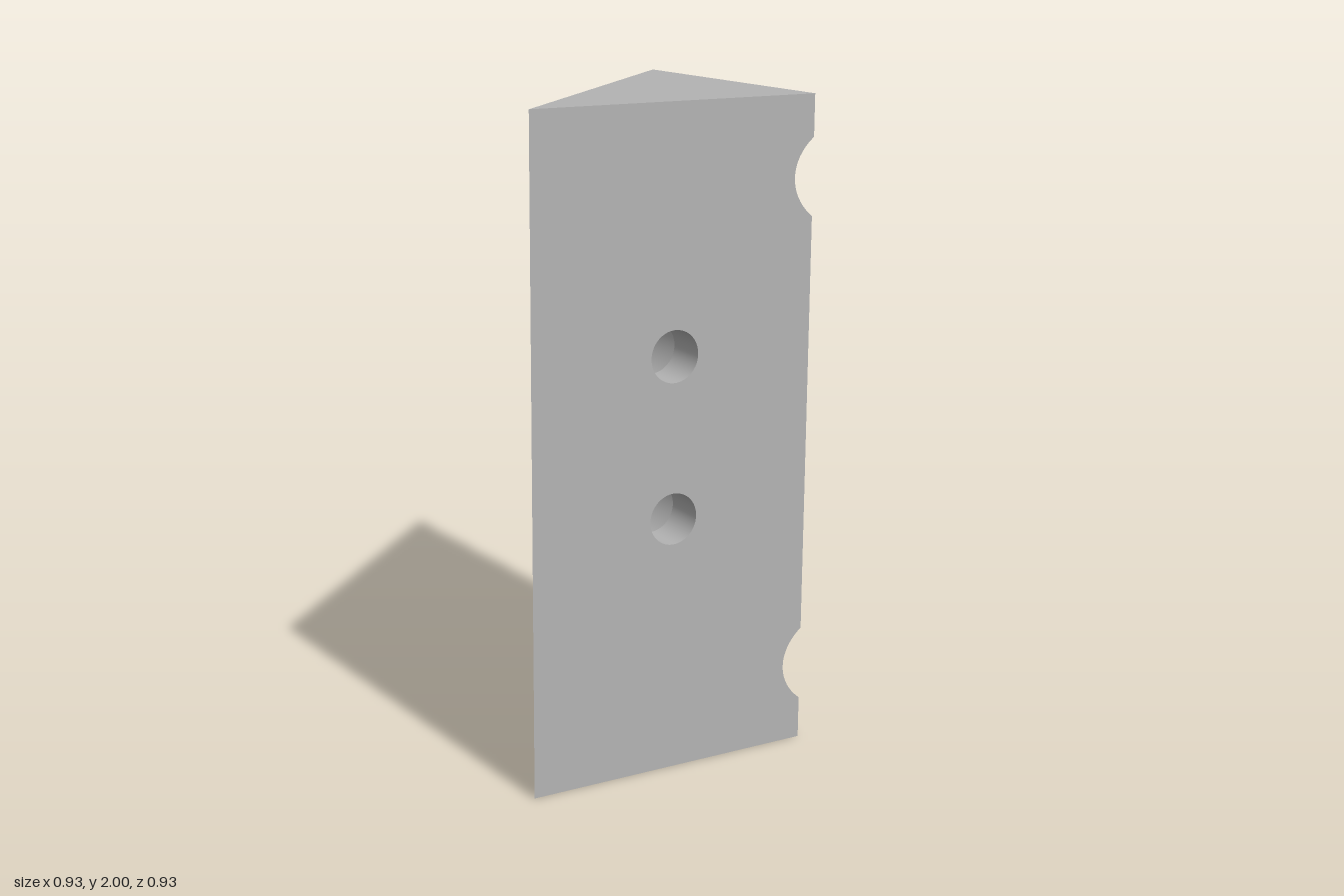
import * as THREE from 'three';

const H = 0.463, TALL = 2;              // half width of the prism, height
const Q = Math.SQRT1_2, S = Math.SQRT2;
const V = (x, y, z) => new THREE.Vector3(x, y, z);
const UP = V(0, 1, 0);

const SIDE = { ys: [0.246, 1.759], shift: 0.09, bore: 0.172, hole: 0.1, floor: 0.42 * Q };
const FRONT = { ys: [0.784, 1.272], bore: 0.161, hole: 0.078, floor: 0.33 };

// angle at which the side counterbore crosses the vertical corner edge
const CORNER = Math.acos(-SIDE.shift * S / SIDE.bore);

function arc(from, to, n) {
  return Array.from({ length: n + 1 }, (_, i) => from + (to - from) * i / n);
}
const FULL = arc(0, Math.PI * 2, 64);

function ellipse(cu, cv, ru, rv, angles) {
  return angles.map(t => new THREE.Vector2(cu + ru * Math.cos(t), cv + rv * Math.sin(t)));
}

export function createModel() {
  const group = new THREE.Group();
  const grey = new THREE.MeshStandardMaterial({ color: 0xb3b3b3 });

  const add = (name, geometry) => {
    const mesh = new THREE.Mesh(geometry, grey);
    mesh.name = name;
    group.add(mesh);
    return mesh;
  };

  // upright flat panel: outline in (u, height), u running along a horizontal direction
  const panel = (name, outline, holes, origin, u) => {
    const shape = new THREE.Shape(outline);
    holes.forEach(h => shape.holes.push(new THREE.Path(h)));
    const geo = new THREE.ShapeGeometry(shape);
    const m = new THREE.Matrix4().makeBasis(u, UP, u.clone().cross(UP)).setPosition(origin);
    add(name, geo.applyMatrix4(m));
  };

  // inside wall of a drilled hole, between start(angle) and end(angle) along its axis
  const wall = (name, o, e, r, angles, start, end) => {
    const axis = e.clone().cross(UP);
    const pos = [], nor = [], idx = [];
    angles.forEach((t, i) => {
      const radial = e.clone().multiplyScalar(Math.cos(t)).addScaledVector(UP, Math.sin(t));
      for (const d of [start(t), end(t)]) {
        pos.push(...o.clone().addScaledVector(radial, r).addScaledVector(axis, d).toArray());
        nor.push(-radial.x, -radial.y, -radial.z);
      }
      const a = i * 2;
      if (i < angles.length - 1) idx.push(a, a + 1, a + 2, a + 2, a + 1, a + 3);
    });
    const geo = new THREE.BufferGeometry();
    geo.setAttribute('position', new THREE.Float32BufferAttribute(pos, 3));
    geo.setAttribute('normal', new THREE.Float32BufferAttribute(nor, 3));
    geo.setIndex(idx);
    add(name, geo);
  };

  // ring-shaped step at the bottom of a counterbore, facing e x up
  const step = (name, o, e, inner, outer) => {
    const m = new THREE.Matrix4().makeBasis(e, UP, e.clone().cross(UP)).setPosition(o);
    add(name, new THREE.RingGeometry(inner, outer, 64).applyMatrix4(m));
  };

  // triangular ends
  for (const [name, y, s] of [['topFace', TALL, 1], ['bottomFace', 0, -1]]) {
    const tri = new THREE.Shape([[-H, H], [H, H], [H, -H]].map(([x, z]) => new THREE.Vector2(x, -s * z)));
    add(name, new THREE.ShapeGeometry(tri).rotateX(-s * Math.PI / 2).translate(0, y, 0));
  }

  const P = (u, v) => new THREE.Vector2(u, v);
  const RS = SIDE.bore * S;

  // front panel: two round holes, counterbores biting into the right edge
  const frontArc = arc(Math.PI * 2 - CORNER, CORNER, 24);
  panel('frontFace',
    [P(-H, 0), P(H, 0),
      ...SIDE.ys.flatMap(y => ellipse(H + 2 * SIDE.shift, y, RS, SIDE.bore, frontArc)),
      P(H, TALL), P(-H, TALL)],
    FRONT.ys.map(y => ellipse(0, y, FRONT.hole, FRONT.hole, FULL.slice(0, -1))),
    V(0, 0, H), V(1, 0, 0));

  // side panel: the larger part of the same bites
  const sideArc = arc(CORNER, -CORNER, 48);
  panel('sideFace',
    [P(-H, 0), P(H, 0), P(H, TALL), P(-H, TALL),
      ...[...SIDE.ys].reverse().flatMap(y => ellipse(2 * SIDE.shift - H, y, RS, SIDE.bore, sideArc))],
    [], V(H, 0, 0), V(0, 0, -1));

  // slanted panel: two round holes and two oval counterbore mouths
  const L = H * S;
  panel('slantedFace',
    [P(-L, 0), P(L, 0), P(L, TALL), P(-L, TALL)],
    [...SIDE.ys.map(y => ellipse(-SIDE.shift * S, y, SIDE.hole, SIDE.hole, FULL.slice(0, -1))),
      ...FRONT.ys.map(y => ellipse(0, y, FRONT.bore * S, FRONT.bore, FULL.slice(0, -1)))],
    V(0, 0, 0), V(-Q, 0, Q));

  // holes square to the slanted face, counterbored from the corner edge
  const cornerAngles = [...arc(-CORNER, CORNER, 48), ...arc(CORNER, Math.PI * 2 - CORNER, 24).slice(1)];
  const exit = t => {
    const k = SIDE.shift + SIDE.bore * Math.cos(t) * Q;
    return S * Math.min(H - k, H + k);
  };
  for (const y of SIDE.ys) {
    const o = V(SIDE.shift, y, -SIDE.shift), e = V(Q, 0, -Q);
    wall('cornerHole', o, e, SIDE.hole, FULL, () => 0, () => SIDE.floor);
    wall('cornerCounterbore', o, e, SIDE.bore, cornerAngles, () => SIDE.floor, exit);
    step('cornerStep', o.clone().addScaledVector(V(Q, 0, Q), SIDE.floor), e, SIDE.hole, SIDE.bore);
  }

  // holes square to the front face, counterbored from the slanted face
  for (const y of FRONT.ys) {
    const o = V(0, y, 0), e = V(1, 0, 0);
    wall('frontHole', o, e, FRONT.hole, FULL, () => FRONT.floor, () => H);
    wall('slantedCounterbore', o, e, FRONT.bore, FULL, t => -FRONT.bore * Math.cos(t), () => FRONT.floor);
    step('slantedStep', V(0, y, FRONT.floor), V(-1, 0, 0), FRONT.hole, FRONT.bore);
  }

  return group;
}
